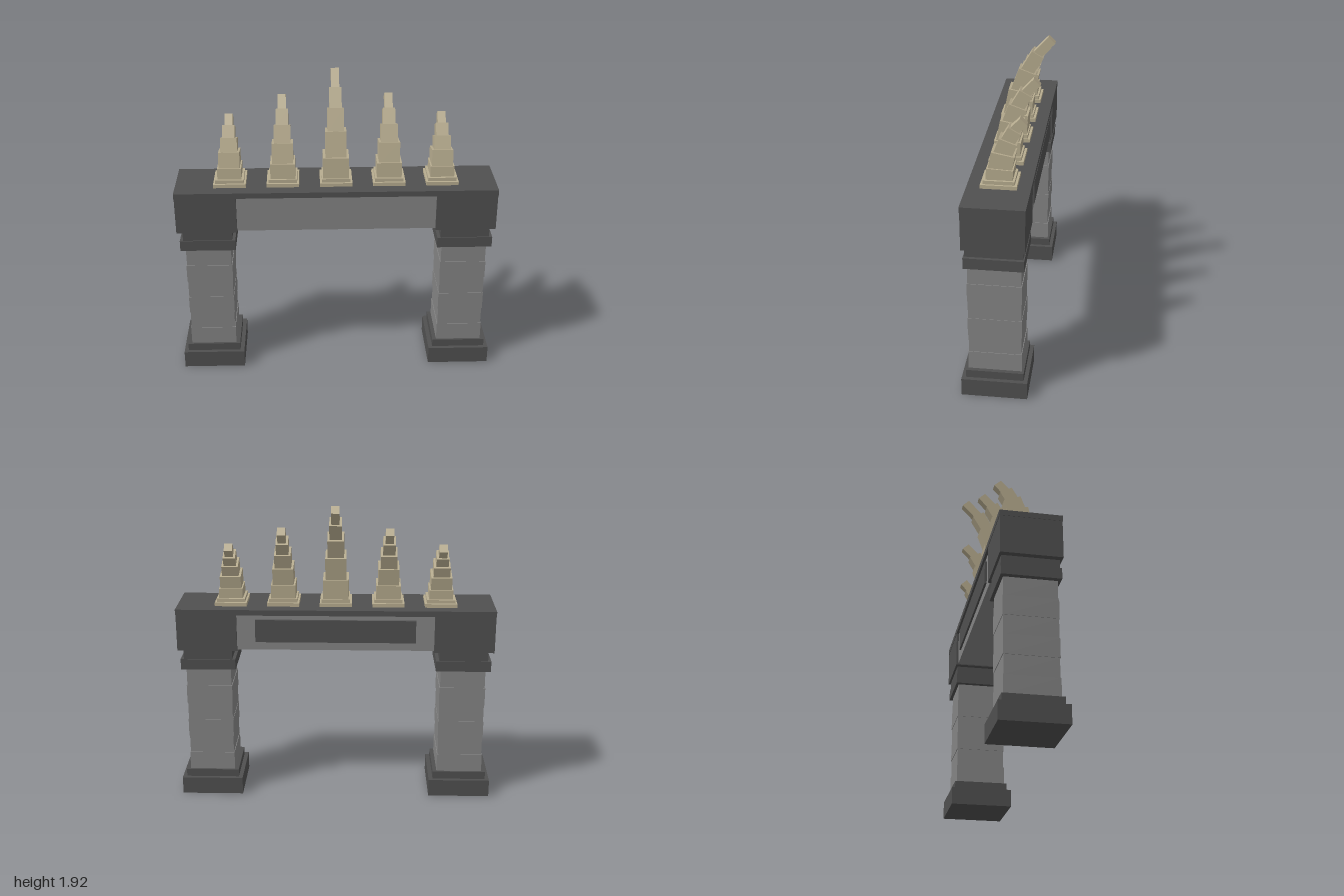
import * as THREE from 'three';

const darkStone = new THREE.MeshStandardMaterial({ name: 'darkStone', color: 0x505050 });
const greyStone = new THREE.MeshStandardMaterial({ name: 'greyStone', color: 0x858585 });
const bone = new THREE.MeshStandardMaterial({ name: 'bone', color: 0xb8ad90 });

const DEPTH_CENTRE = 0.028;

// Box given by its centre in x and z and its bottom and top in y
function block(parent, name, material, x, y0, y1, z, width, depth) {
  const mesh = new THREE.Mesh(new THREE.BoxGeometry(width, y1 - y0, depth), material);
  mesh.name = name;
  mesh.position.set(x, (y0 + y1) / 2, z);
  parent.add(mesh);
  return mesh;
}

// Pillar: stepped base, slightly uneven courses, collars and top block
function makePillar(side) {
  const pillar = new THREE.Group();
  pillar.name = side > 0 ? 'leftPillar' : 'rightPillar';
  const x = 0.804 * side;
  const z = DEPTH_CENTRE;
  block(pillar, 'base', darkStone, x, 0, 0.112, z, 0.392, 0.393);
  block(pillar, 'baseStep', darkStone, x, 0.112, 0.162, z, 0.34, 0.345);
  const courses = 6;
  const height = 0.7 / courses;
  for (let i = 0; i < courses; i++) {
    const grow = [0.008, 0, 0.007, 0.002, 0.008, 0][i];
    const y = 0.162 + i * height;
    block(pillar, 'shaftCourse', greyStone, x, y, y + height, z, 0.282 + grow, 0.31 + grow);
  }
  block(pillar, 'lowerCollar', darkStone, x, 0.862, 0.93, z, 0.345, 0.348);
  block(pillar, 'upperCollar', darkStone, x, 0.93, 0.99, z, 0.305, 0.335);
  block(pillar, 'topBlock', darkStone, x, 0.99, 1.252, z, 0.376, 0.363);
  return pillar;
}

// Spike: two foot plates and a stack of shrinking blocks that leans backwards
function makeSpike(x, scale) {
  const spike = new THREE.Group();
  spike.name = 'spike';
  block(spike, 'footPlate', bone, x, 1.25, 1.283, 0.027, 0.2, 0.21);
  block(spike, 'footStep', bone, x, 1.283, 1.305, 0.027, 0.176, 0.182);
  const widths = [0.16, 0.13, 0.102, 0.076, 0.05];
  const lengths = [0.152, 0.152, 0.132, 0.122, 0.122];
  const tilts = [3, 11, 20, 30, 43];
  let y = 1.28;
  let z = 0.027;
  widths.forEach((w, i) => {
    const angle = THREE.MathUtils.degToRad(tilts[i]);
    const length = lengths[i] * scale;
    const overlap = 0.02;
    // The lower end sinks into the block below
    const mid = (length - overlap) / 2;
    const width = i === 0 ? w - 0.03 * (1 - scale) : w;
    const mesh = new THREE.Mesh(new THREE.BoxGeometry(width, length + overlap, width + 0.006), bone);
    mesh.name = 'spikeSegment';
    mesh.rotation.x = -angle;
    mesh.position.set(x, y + mid * Math.cos(angle), z - mid * Math.sin(angle));
    spike.add(mesh);
    y += length * Math.cos(angle);
    z -= length * Math.sin(angle);
  });
  return spike;
}

export function createModel() {
  const model = new THREE.Group();
  model.name = 'spikedGate';
  model.add(makePillar(1), makePillar(-1));

  // Lintel between the pillars, with a raised panel at the back
  block(model, 'lintel', greyStone, 0, 0.997, 1.225, DEPTH_CENTRE, 1.24, 0.335);
  block(model, 'backPanel', darkStone, 0, 1.05, 1.195, -0.142, 1.0, 0.02);
  block(model, 'topSlab', darkStone, 0, 1.225, 1.26, DEPTH_CENTRE, 1.988, 0.368);

  // Spikes, tallest in the middle
  model.add(makeSpike(0, 1));
  for (const side of [-1, 1]) {
    model.add(makeSpike(0.328 * side, 0.765), makeSpike(0.656 * side, 0.59));
  }
  return model;
}
